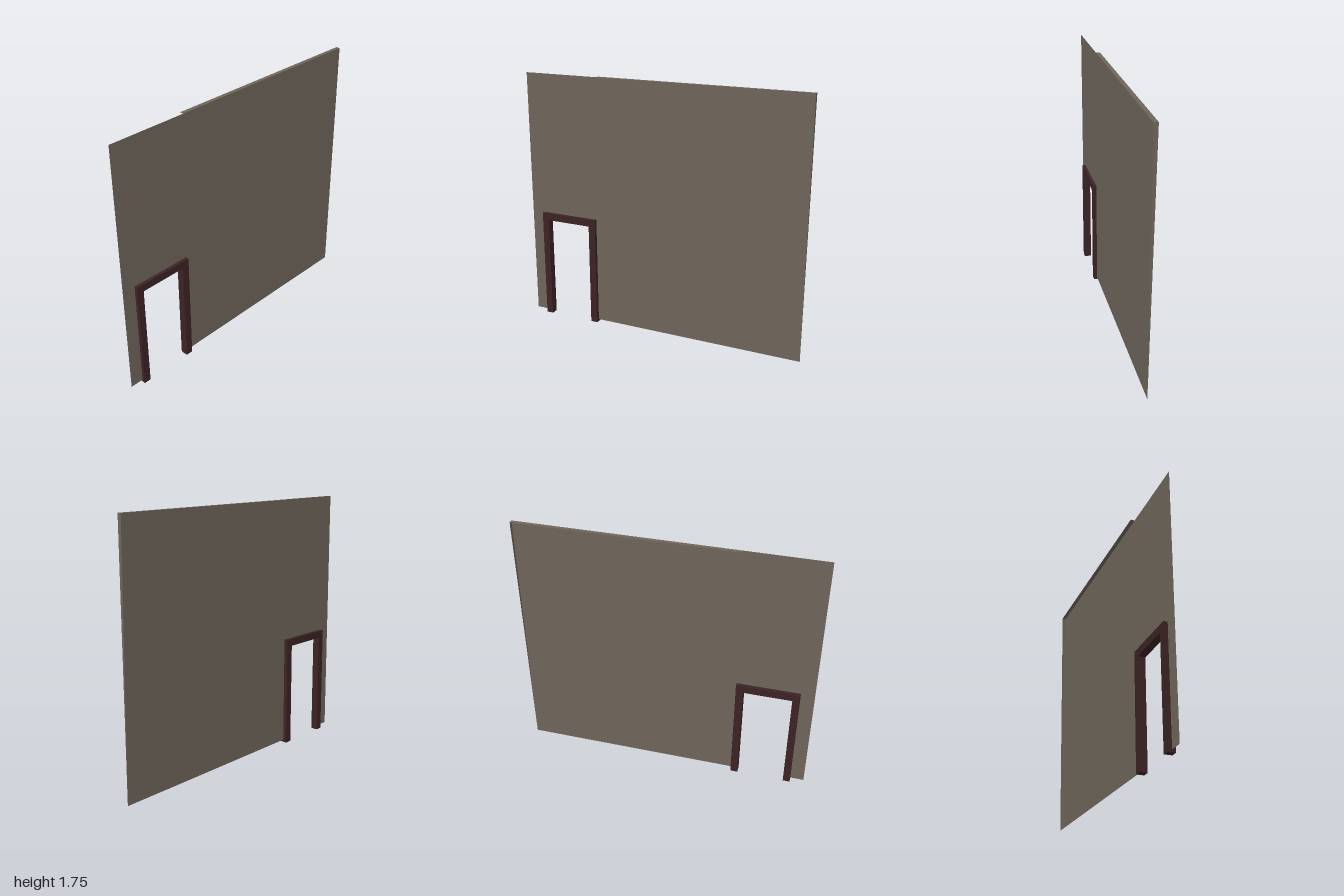
import * as THREE from 'three';

const WALL_X = 0.002, BACK_X = -0.025, TOP = 1.755, BOTTOM = 0.015;

// Turns a shape drawn in (-z, y) to face +x
function faceSide(geometry, x) {
  return geometry.rotateY(Math.PI / 2).translate(x, 0, 0);
}

// Doorway outline running up one jamb, across and down the other
function shapeOf(points) {
  return new THREE.Shape(points.map(([z, y]) => new THREE.Vector2(-z, y)));
}

export function createModel() {
  const group = new THREE.Group();
  const wallMaterial = new THREE.MeshStandardMaterial({ color: 0x6e655a, side: THREE.DoubleSide });
  wallMaterial.name = 'wall plaster';
  const frameMaterial = new THREE.MeshStandardMaterial({ color: 0x3c2224 });
  frameMaterial.name = 'dark wood';

  const add = (name, geometry, material) => {
    const mesh = new THREE.Mesh(geometry, material);
    mesh.name = name;
    group.add(mesh);
  };

  // Thin wall sheet with the doorway cut out
  const wall = shapeOf([
    [1, BOTTOM], [0.885, BOTTOM], [0.885, 0.745], [0.512, 0.745],
    [0.512, BOTTOM], [-1, BOTTOM], [-1, TOP], [1, TOP],
  ]);
  add('wall', faceSide(new THREE.ShapeGeometry(wall), WALL_X), wallMaterial);

  // Narrow top edge, stopping short above the doorway
  const topEdge = new THREE.PlaneGeometry(WALL_X - BACK_X, 1.46);
  topEdge.rotateX(-Math.PI / 2).translate((WALL_X + BACK_X) / 2, TOP, -0.27);
  add('wallTopEdge', topEdge, wallMaterial);

  // Back edge, tapering towards the floor
  const taper = new THREE.Shape([
    new THREE.Vector2(WALL_X, BOTTOM),
    new THREE.Vector2(WALL_X, TOP),
    new THREE.Vector2(BACK_X, TOP),
  ]);
  add('wallBackEdge', new THREE.ShapeGeometry(taper).translate(0, 0, -1), wallMaterial);

  // Door frame: two jambs and a lintel in one piece
  const frame = shapeOf([
    [0.908, 0], [0.86, 0], [0.86, 0.72], [0.535, 0.72],
    [0.535, 0], [0.485, 0], [0.485, 0.77], [0.908, 0.77],
  ]);
  const frameGeometry = new THREE.ExtrudeGeometry(frame, { depth: 0.05, bevelEnabled: false });
  add('doorFrame', faceSide(frameGeometry, -0.025), frameMaterial);

  return group;
}
